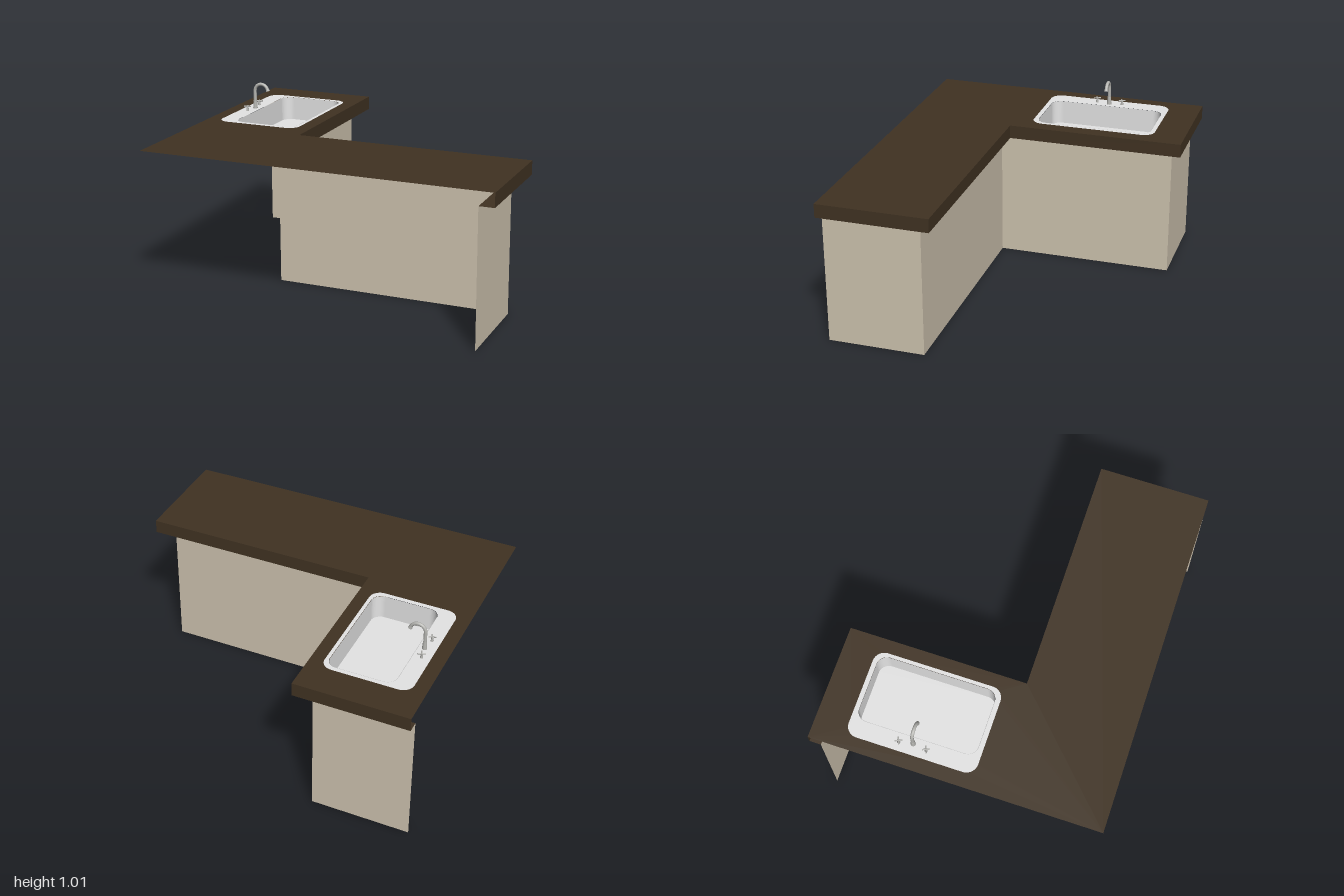
import * as THREE from 'three';

const mat = (name, color, side = THREE.DoubleSide) => {
  const m = new THREE.MeshStandardMaterial({ color, side });
  m.name = name;
  return m;
};

// Rounded rectangle in plan (shape y = -z)
function roundedRect(Type, x0, x1, z0, z1, r) {
  const s = new Type();
  const a = -z1, b = -z0;
  s.moveTo(x0 + r, a);
  s.lineTo(x1 - r, a);
  s.absarc(x1 - r, a + r, r, -Math.PI / 2, 0);
  s.lineTo(x1, b - r);
  s.absarc(x1 - r, b - r, r, 0, Math.PI / 2);
  s.lineTo(x0 + r, b);
  s.absarc(x0 + r, b - r, r, Math.PI / 2, Math.PI);
  s.lineTo(x0, a + r);
  s.absarc(x0 + r, a + r, r, Math.PI, Math.PI * 1.5);
  return s;
}

const flat = (shape, y) => new THREE.ShapeGeometry(shape, 8).rotateX(-Math.PI / 2).translate(0, y, 0);

// Upright faces following a plan path of [x, z] points
function upright(path, y0, y1, flip = false) {
  const pos = [];
  for (let i = 0; i + 1 < path.length; i++) {
    const [p, q] = flip ? [path[i + 1], path[i]] : [path[i], path[i + 1]];
    const A = [p[0], y0, p[1]], B = [q[0], y0, q[1]], C = [q[0], y1, q[1]], D = [p[0], y1, p[1]];
    pos.push(...A, ...B, ...C, ...A, ...C, ...D);
  }
  const g = new THREE.BufferGeometry();
  g.setAttribute('position', new THREE.Float32BufferAttribute(pos, 3));
  g.computeVertexNormals();
  return g;
}

export function createModel() {
  const group = new THREE.Group();
  const wood = mat('dark countertop', 0x403222);
  const panel = mat('beige panel', 0xcdc2ae);
  const white = mat('white enamel', 0xe4e4e4);
  const shell = mat('grey basin shell', 0x707074);
  const metal = mat('tap metal', 0xb4b4b0);
  const add = (name, geo, material, parent = group) => {
    const m = new THREE.Mesh(geo, material);
    m.name = name;
    parent.add(m);
    return m;
  };

  const TOP = 0.848, UNDER = 0.77;

  // Exposed edge of the L and the panel line set back beneath it
  const edge = [[1, 0.82], [1, 0.19], [-0.35, 0.19], [-0.35, -0.82], [-1, -0.82]];
  const base = [[0.915, 0.82], [0.915, 0.27], [-0.44, 0.27], [-0.44, -0.755], [-1, -0.755]];
  const toShape = pts => new THREE.Shape(pts.map(([x, z]) => new THREE.Vector2(x, -z)));

  // Countertop with the sink cut-out
  const topShape = toShape([...edge, [-1, 0.82]]);
  topShape.holes.push(roundedRect(THREE.Path, -0.91, -0.435, -0.63, 0.075, 0.055));
  add('countertop', flat(topShape, TOP), wood);
  add('countertopEdge', upright(edge, UNDER, TOP), wood);
  add('countertopOverhang', flat(toShape([...edge, ...[...base].reverse()]), UNDER), wood);

  // Cabinet panels
  add('cabinetPanels', upright(base, 0, UNDER), panel);

  // Sink rim, basin lining and outer shell
  const sink = new THREE.Group();
  sink.name = 'sink';
  group.add(sink);
  const bowl = [-0.825, -0.445, -0.615, 0.06];
  const rim = roundedRect(THREE.Shape, -0.922, -0.425, -0.64, 0.087, 0.065);
  rim.holes.push(roundedRect(THREE.Path, ...bowl, 0.06));
  add('sinkRim', flat(rim, TOP + 0.003), white, sink);

  const plan = (inset) => {
    const [x0, x1, z0, z1] = bowl;
    return roundedRect(THREE.Shape, x0 + inset, x1 - inset, z0 + inset, z1 - inset, 0.06 - inset);
  };
  const loop = (inset) => {
    const pts = plan(inset).getPoints(8).map(p => [p.x, -p.y]);
    pts.push(pts[0]);
    return pts;
  };
  add('basinLining', upright(loop(0.002), 0.712, TOP + 0.003, true), white, sink);
  add('basinFloor', flat(plan(0.002), 0.712), white, sink);
  add('basinShell', upright(loop(0), 0.708, TOP), shell, sink);
  add('basinUnderside', flat(plan(0), 0.708), shell, sink);

  // Tap: swan-neck spout
  const tap = new THREE.Group();
  tap.name = 'tap';
  tap.position.set(-0.86, TOP, -0.275);
  group.add(tap);
  const neck = new THREE.CurvePath();
  const V = (x, y) => new THREE.Vector3(x, y, 0);
  neck.add(new THREE.LineCurve3(V(0, 0), V(0, 0.11)));
  const arc = [];
  for (let i = 0; i <= 10; i++) {
    const a = Math.PI * (1 - i / 10 * 0.88);
    arc.push(V(0.042 + 0.042 * Math.cos(a), 0.11 + 0.042 * Math.sin(a)));
  }
  neck.add(new THREE.CatmullRomCurve3(arc));
  add('spout', new THREE.TubeGeometry(neck, 40, 0.0095, 12), metal, tap);
  const tip = add('spoutTip', new THREE.CylinderGeometry(0.0095, 0.012, 0.016, 12), metal, tap);
  tip.position.set(0.083, 0.12, 0);
  tip.rotation.z = 0.35;
  const foot = add('spoutFoot', new THREE.CylinderGeometry(0.0105, 0.014, 0.05, 16), metal, tap);
  foot.position.y = 0.025;

  // Tap: two cross handles
  for (const side of [-1, 1]) {
    const handle = new THREE.Group();
    handle.name = side < 0 ? 'backHandle' : 'frontHandle';
    handle.position.set(-0.013, 0, side * 0.077);
    tap.add(handle);
    add('handleStem', new THREE.CylinderGeometry(0.005, 0.009, 0.03, 12).translate(0, 0.015, 0), metal, handle);
    for (const turn of [0.4, 0.4 + Math.PI / 2]) {
      const bar = add('handleBar', new THREE.CylinderGeometry(0.004, 0.004, 0.042, 8).rotateZ(Math.PI / 2), metal, handle);
      bar.position.y = 0.029;
      bar.rotation.y = turn;
    }
  }
  return group;
}
